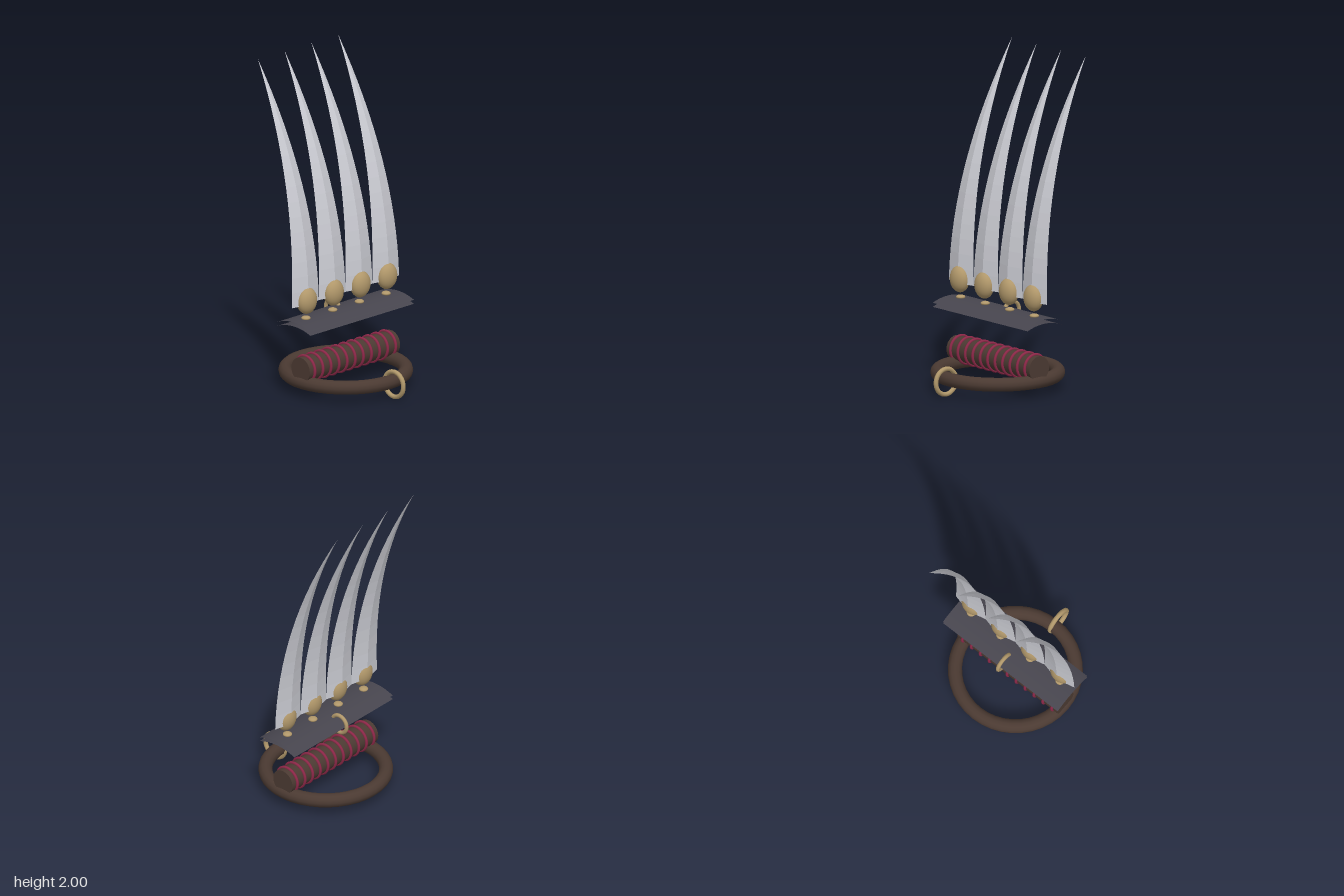
import * as THREE from 'three';

const mat = (color, extra = {}) => new THREE.MeshStandardMaterial({ color, ...extra });

// Curved, tapering blade with a diamond cross-section
function bladeGeometry() {
  const steps = 16, pos = [], index = [];
  for (let i = 0; i <= steps; i++) {
    const t = i / steps;
    const taper = Math.max(1 - Math.pow(t, 1.3), 0.005);
    const w = 0.113 * taper, d = 0.027 * taper;
    const y = 0.575 + 1.425 * t, z = -0.047 - 0.39 * Math.pow(t, 2.05);
    pos.push(w, y, z, 0, y, z + d, -w, y, z, 0, y, z - d);
    if (i === steps) break;
    for (let j = 0; j < 4; j++) {
      const a = i * 4 + j, b = i * 4 + (j + 1) % 4;
      index.push(a, a + 4, b, b, a + 4, b + 4);
    }
  }
  index.push(0, 1, 2, 0, 2, 3);
  const g = new THREE.BufferGeometry();
  g.setAttribute('position', new THREE.Float32BufferAttribute(pos, 3));
  g.setIndex(index);
  g.computeVertexNormals();
  return g;
}

export function createModel() {
  const model = new THREE.Group();
  model.name = 'clawWeapon';
  const steel = mat(0xcccdd4, { flatShading: true });
  const plateMat = mat(0x47454e, { side: THREE.DoubleSide });
  const brass = mat(0xb0976a);
  const leather = mat(0x4b3a32);
  const cord = mat(0x8c2848);

  const add = (name, geometry, material, x, y, z) => {
    const mesh = new THREE.Mesh(geometry, material);
    mesh.name = name;
    mesh.position.set(x, y, z);
    model.add(mesh);
    return mesh;
  };

  // Four blades, each with a knuckle stud and a rivet below it
  const blade = bladeGeometry();
  const stud = new THREE.SphereGeometry(1, 24, 16).scale(0.07, 0.08, 0.05);
  const rivet = new THREE.SphereGeometry(1, 16, 10).scale(0.028, 0.013, 0.028);
  for (let i = 0; i < 4; i++) {
    const x = (i - 1.5) * 0.225;
    add('blade', blade, steel, x, 0, 0);
    add('knuckleStud', stud, brass, x, 0.6, -0.035);
    add('rivet', rivet, brass, x, 0.491, -0.043);
  }

  // Hand plate: two thin arched sheets, one above the other
  const half = 0.4, radius = 0.353;
  const sheet = new THREE.CylinderGeometry(radius, radius, 0.872, 16, 1, true, Math.PI / 2 - half, 2 * half)
    .rotateZ(Math.PI / 2);
  for (const top of [0.485, 0.46]) add('handPlate', sheet, plateMat, 0, top - radius, -0.0475);

  // Handle bar with cord wraps
  const bar = new THREE.CylinderGeometry(0.076, 0.076, 0.76, 24).rotateZ(Math.PI / 2);
  add('handle', bar, leather, 0, 0.178, -0.045);
  const wrap = new THREE.TorusGeometry(0.079, 0.009, 8, 28).rotateY(Math.PI / 2);
  for (let i = -5; i <= 5; i++) add('cordWrap', wrap, cord, i * 0.068, 0.178, -0.045);

  // Wrist loop
  const loop = new THREE.TorusGeometry(0.356, 0.042, 12, 40).rotateX(Math.PI / 2);
  add('wristLoop', loop, leather, 0, 0.096, -0.045);

  // Small metal rings standing in the side plane
  const ring = (r, tube) => new THREE.TorusGeometry(r, tube, 10, 28).rotateY(Math.PI / 2);
  add('backRing', ring(0.056, 0.012), brass, 0, 0.45, -0.153);
  add('frontRing', ring(0.077, 0.014), brass, 0, 0.093, 0.353);

  return model;
}
